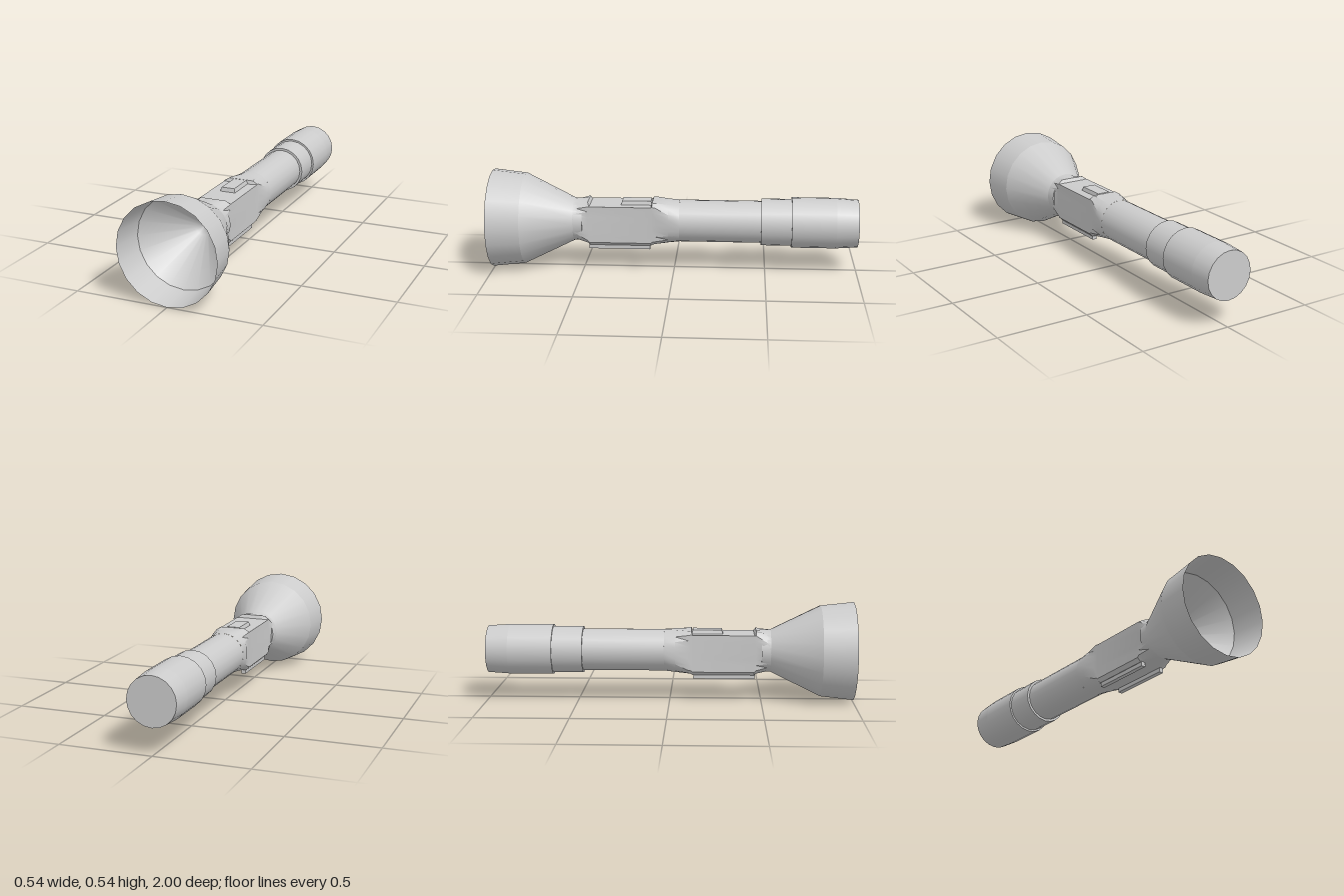
import * as THREE from 'three';
import { toCreasedNormals } from 'three/addons/utils/BufferGeometryUtils.js';

const AXIS_Y = 0.272;
const SIDES = 20;

export function createModel() {
  const group = new THREE.Group();
  const body = new THREE.Group();
  body.position.y = AXIS_Y;
  group.add(body);

  const solid = new THREE.MeshStandardMaterial({ color: 0xcccccc });
  const thin = new THREE.MeshStandardMaterial({ color: 0xcccccc, side: THREE.DoubleSide });

  function add(name, geometry, material = solid) {
    const mesh = new THREE.Mesh(geometry, material);
    mesh.name = name;
    body.add(mesh);
    return mesh;
  }

  // Round section along z, from zBack to zFront
  function section(name, rBack, rFront, zBack, zFront, open = false) {
    const g = new THREE.CylinderGeometry(rFront, rBack, zFront - zBack, SIDES, 1, open);
    g.rotateX(Math.PI / 2);
    g.translate(0, 0, (zBack + zFront) / 2);
    return add(name, g, open ? thin : solid);
  }

  // Tail cap, collar and barrel
  section('tailCapEnd', 0.13, 0.138, -1, -0.88);
  section('tailCap', 0.138, 0.138, -0.88, -0.64);
  section('collar', 0.128, 0.128, -0.64, -0.475);
  section('barrel', 0.115, 0.115, -0.475, -0.03);

  // Flared head with an open rim
  section('neck', 0.112, 0.118, 0.5, 0.55);
  section('headCone', 0.118, 0.25, 0.55, 0.82, true);
  section('headRim', 0.25, 0.27, 0.82, 1, true);

  // Reflector dish inside the head
  const dish = new THREE.LatheGeometry(
    [[0, 0.575], [0.04, 0.59], [0.25, 0.82]].map(([r, z]) => new THREE.Vector2(r, z)), SIDES);
  dish.rotateX(Math.PI / 2);
  add('reflector', dish, thin);

  // Squared grip: clamped circles [z, radius, half width, bottom, top]
  const rings = [
    [-0.03, 0.115, 0.115, 0.115, 0.115],
    [0.03, 0.122, 0.112, 0.12, 0.115],
    [0.1, 0.135, 0.097, 0.125, 0.115],
    [0.118, 0.14, 0.096, 0.125, 0.115],
    [0.125, 0.15, 0.095, 0.125, 0.096],
    [0.46, 0.15, 0.095, 0.125, 0.096],
    [0.47, 0.135, 0.095, 0.122, 0.115],
    [0.53, 0.116, 0.108, 0.116, 0.116],
    [0.55, 0.118, 0.118, 0.118, 0.118],
  ];
  const N = 24;
  const positions = [];
  const index = [];
  rings.forEach(([z, r, w, bottom, top], i) => {
    for (let j = 0; j < N; j++) {
      const a = (j / N) * Math.PI * 2;
      positions.push(
        THREE.MathUtils.clamp(r * Math.cos(a), -w, w),
        THREE.MathUtils.clamp(r * Math.sin(a), -bottom, top), z);
      if (i === rings.length - 1) continue;
      const p = i * N + j, q = i * N + (j + 1) % N;
      index.push(p, q, q + N, p, q + N, p + N);
    }
  });
  const grip = new THREE.BufferGeometry();
  grip.setAttribute('position', new THREE.Float32BufferAttribute(positions, 3));
  grip.setIndex(index);
  add('grip', toCreasedNormals(grip, 0.5));

  // Sliding switch, bevelled towards its top
  const slide = new THREE.BoxGeometry(0.09, 0.03, 0.175);
  const pos = slide.attributes.position;
  for (let i = 0; i < pos.count; i++) {
    if (pos.getY(i) > 0) {
      pos.setX(i, pos.getX(i) * 0.8);
      pos.setZ(i, pos.getZ(i) * 0.9);
    }
  }
  slide.computeVertexNormals();
  add('switch', slide).position.set(0, 0.102, 0.205);

  // Pair of rails under the grip
  for (const side of [-1, 1]) {
    const rail = add(side > 0 ? 'leftRail' : 'rightRail', new THREE.BoxGeometry(0.024, 0.04, 0.335));
    rail.position.set(side * 0.06, -0.127, 0.297);
  }

  return group;
}
